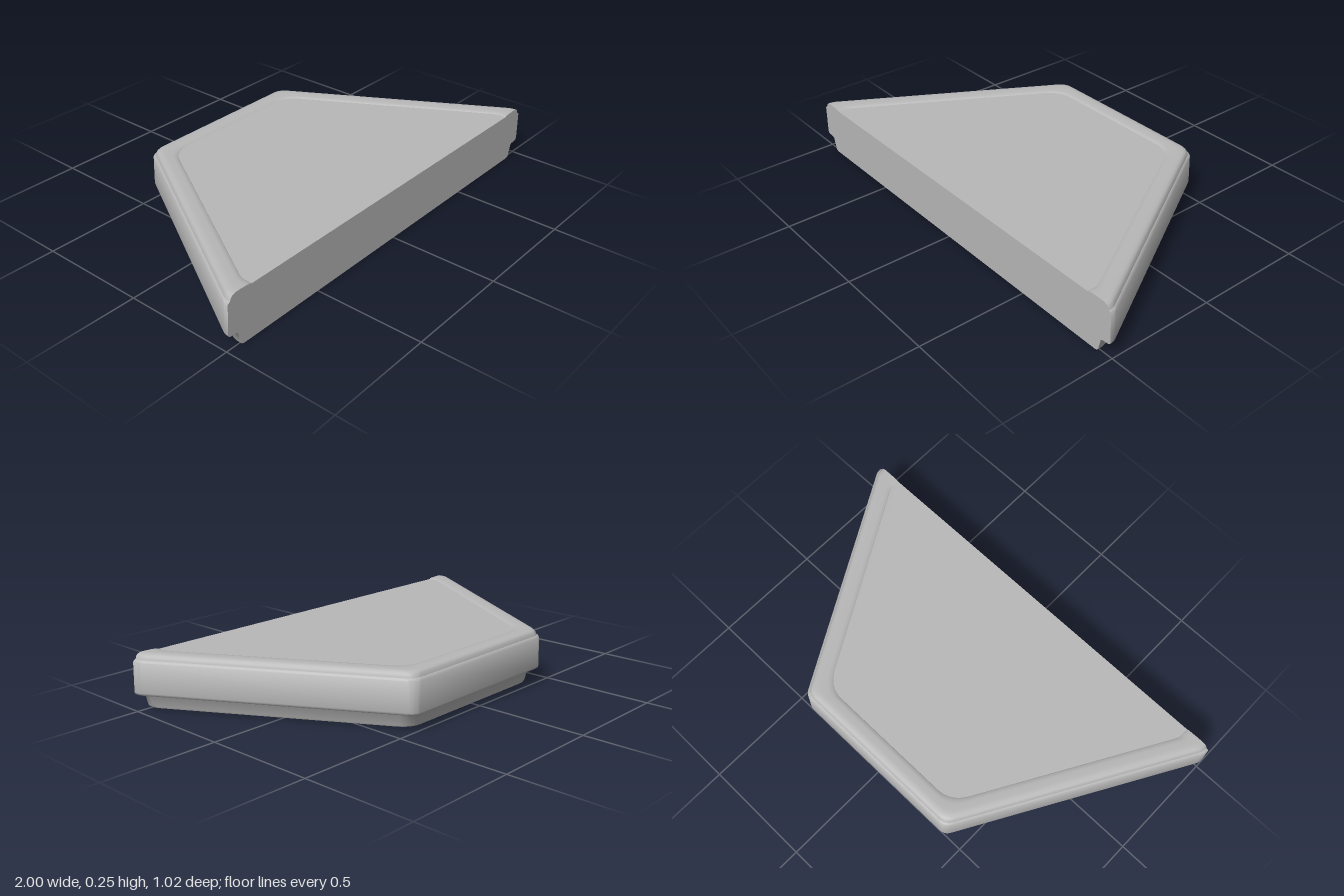
import * as THREE from 'three';
import { toCreasedNormals } from 'three/addons/utils/BufferGeometryUtils.js';

const FRONT = 0.512, BACK = -0.512;

// Half outline as seen from above, inset from the outermost edge, then mirrored
function outline(inset) {
  const cap = 1 - 1.35 * inset;
  const side = (z) => 0.42 + (z - BACK) * 0.577 - inset * 1.155;
  const zAt = (x) => BACK + (x - 0.42 + inset * 1.155) / 0.577;
  const zb = BACK + inset;
  const cut = 0.028 + inset * 0.5;
  const half = [new THREE.Vector2(cap, FRONT)];
  const corner = (a, b, c, n) => half.push(...new THREE.QuadraticBezierCurve(a, b, c).getPoints(n));
  const V = (x, z) => new THREE.Vector2(x, z);
  // blunt tip beside the cut face
  const zt = zAt(cap), t = Math.min(0.018, (FRONT - zt) * 0.8);
  corner(V(cap, zt + t), V(cap, zt), V(side(zt - t), zt - t), 4);
  // rounded rear corner
  const xb = side(zb);
  corner(V(side(zb + cut), zb + cut), V(xb, zb), V(xb - cut, zb), 8);
  return [...half, ...half.slice().reverse().map((p) => V(-p.x, p.y))];
}

// Skin between successive [inset, y] sections
function loft(sections) {
  const rings = sections.map(([inset, y]) => outline(inset).map((p) => [p.x, y, p.y]));
  const pos = [];
  for (let i = 0; i + 1 < rings.length; i++) {
    const a = rings[i], b = rings[i + 1];
    for (let k = 0; k + 1 < a.length; k++) {
      pos.push(...a[k], ...a[k + 1], ...b[k], ...a[k + 1], ...b[k + 1], ...b[k]);
    }
  }
  return fromPositions(pos);
}

// Flat cap filling one section
function cap([inset, y], up) {
  const ring = outline(inset).map((p) => [p.x, y, p.y]);
  const pos = [];
  for (let k = 1; k + 1 < ring.length; k++) {
    pos.push(...ring[0], ...(up ? ring[k] : ring[k + 1]), ...(up ? ring[k + 1] : ring[k]));
  }
  return fromPositions(pos);
}

function fromPositions(pos) {
  const g = new THREE.BufferGeometry();
  g.setAttribute('position', new THREE.Float32BufferAttribute(pos, 3));
  return toCreasedNormals(g, 0.7);
}

export function createModel() {
  const group = new THREE.Group();
  group.name = 'halfTile';
  const grey = new THREE.MeshStandardMaterial({ color: 0xb8b8b8 });
  grey.name = 'plain grey';
  const add = (name, geometry) => {
    const mesh = new THREE.Mesh(geometry, grey);
    mesh.name = name;
    group.add(mesh);
  };

  // Edge profile of each part, from the floor up
  const plinth = [[0.06, 0], [0.05, 0.004], [0.046, 0.012], [0.037, 0.062], [0.032, 0.067]];
  const body = [[0.032, 0.067], [0.008, 0.069], [0.002, 0.074], [0, 0.082], [0.003, 0.211], [0.006, 0.216], [0.012, 0.22]];
  const rim = [[0.012, 0.22], [0.016, 0.234], [0.022, 0.241], [0.032, 0.245], [0.05, 0.2455], [0.075, 0.244], [0.09, 0.242], [0.095, 0.238]];

  add('plinth', loft(plinth));
  add('body', loft(body));
  add('raisedRim', loft(rim));
  add('topPanel', cap(rim[rim.length - 1], true));
  add('underside', cap(plinth[0], false));

  // Flat cut face at the front, following the same profile on both sides
  const edge = [...plinth, ...body.slice(1), ...rim.slice(1)]
    .map(([inset, y]) => new THREE.Vector2(outline(inset)[0].x, y));
  const mirrored = edge.slice().reverse().map((p) => new THREE.Vector2(-p.x, p.y));
  const face = new THREE.ShapeGeometry(new THREE.Shape([...edge, ...mirrored]));
  face.translate(0, 0, FRONT);
  add('frontFace', face);

  return group;
}
